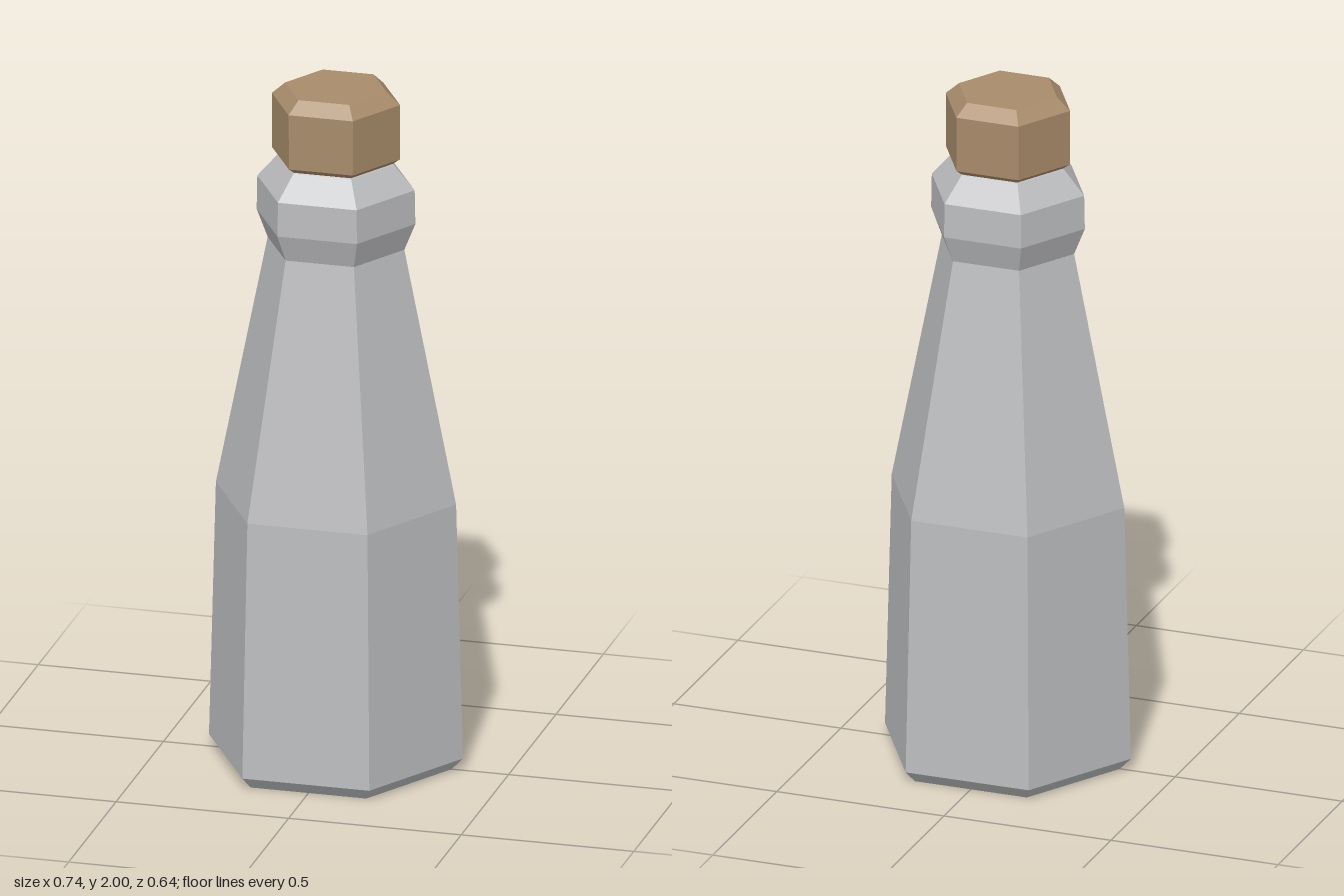
import * as THREE from 'three';

const glass = new THREE.MeshStandardMaterial({ color: 0xbcbdbf, flatShading: true });
glass.name = 'grey glass';
const cork = new THREE.MeshStandardMaterial({ color: 0xa88b6a, flatShading: true });
cork.name = 'brown cork';

// Six-sided solid turned from [radius, height] pairs, corners on the x axis
function hexTurned(name, profile, material) {
  const points = profile.map(([r, y]) => new THREE.Vector2(r, y));
  const geometry = new THREE.LatheGeometry(points, 6, Math.PI / 2).toNonIndexed();
  geometry.computeVertexNormals();
  const mesh = new THREE.Mesh(geometry, material);
  mesh.name = name;
  return mesh;
}

export function createModel() {
  const model = new THREE.Group();
  model.name = 'bottle';

  // Body with bevelled foot, tapering shoulder and collar
  model.add(hexTurned('bottleBody', [
    [0, 0], [0.335, 0], [0.368, 0.035], [0.348, 0.79], [0.198, 1.535],
    [0.23, 1.615], [0.228, 1.715], [0.168, 1.785], [0.155, 1.795], [0, 1.795],
  ], glass));

  // Stopper with bevelled rims
  model.add(hexTurned('stopper', [
    [0, 1.788], [0.165, 1.788], [0.185, 1.803], [0.186, 1.965], [0.147, 2], [0, 2],
  ], cork));

  return model;
}
